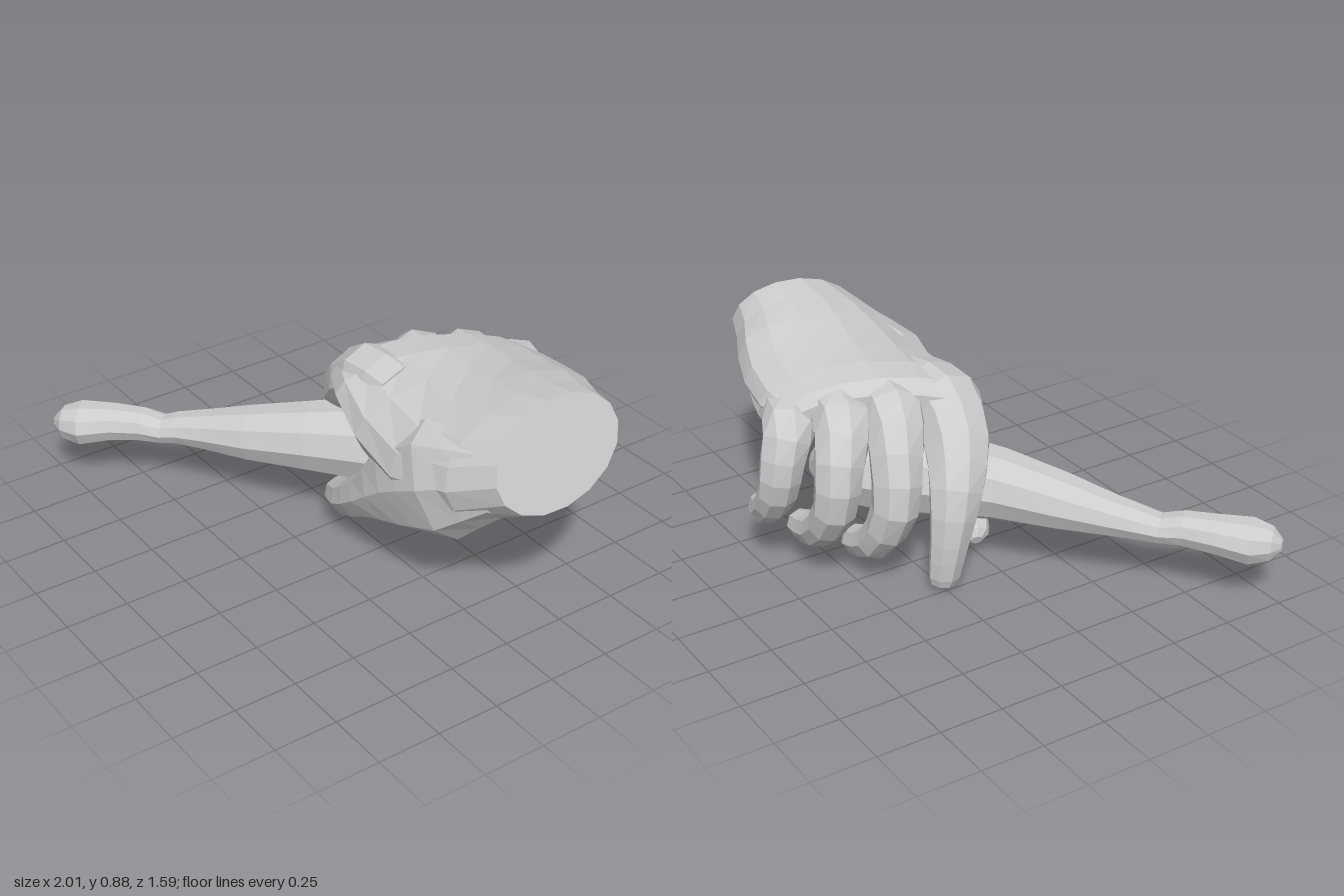
import * as THREE from 'three';

const V = (x, y, z) => new THREE.Vector3(x, y, z);
const material = new THREE.MeshStandardMaterial({ color: 0xcccccc, flatShading: true });

// Lofts elliptical rings [x, y, z, halfWidth, halfHeight, slant, lean] along a path.
// side is the width direction; slant and lean shear a ring along x and y.
function loft(name, rings, side, sides) {
  const centers = rings.map(r => V(r[0], r[1], r[2]));
  const n = rings.length, pos = [], index = [];
  rings.forEach(([, , , w, h, slant = 0, lean = 0], i) => {
    const t = centers[Math.min(i + 1, n - 1)].clone().sub(centers[Math.max(i - 1, 0)]).normalize();
    const u = side.clone().addScaledVector(t, -side.dot(t)).normalize();
    const v = t.clone().cross(u);
    for (let j = 0; j < sides; j++) {
      const a = (j / sides) * Math.PI * 2, du = Math.cos(a) * w;
      const p = centers[i].clone().addScaledVector(u, du).addScaledVector(v, Math.sin(a) * h);
      pos.push(p.x + slant * du, p.y + lean * du, p.z);
    }
  });
  for (let i = 0; i < n - 1; i++) {
    for (let j = 0; j < sides; j++) {
      const a = i * sides + j, b = i * sides + (j + 1) % sides;
      index.push(a, b, b + sides, a, b + sides, a + sides);
    }
  }
  // end caps
  const first = n * sides, last = first + 1, base = (n - 1) * sides;
  pos.push(...centers[0].toArray(), ...centers[n - 1].toArray());
  for (let j = 0; j < sides; j++) {
    const k = (j + 1) % sides;
    index.push(first, k, j, last, base + j, base + k);
  }
  let geometry = new THREE.BufferGeometry();
  geometry.setAttribute('position', new THREE.Float32BufferAttribute(pos, 3));
  geometry.setIndex(index);
  geometry = geometry.toNonIndexed();
  geometry.computeVertexNormals();
  const mesh = new THREE.Mesh(geometry, material);
  mesh.name = name;
  return mesh;
}

// A finger: joints [x, y, z, halfWidth, halfHeight] smoothed by a curve, with a rounded tip
function finger(name, joints) {
  const curve = new THREE.CatmullRomCurve3(joints.map(j => V(j[0], j[1], j[2])));
  const steps = (joints.length - 1) * 2, rings = [];
  for (let i = 0; i <= steps; i++) {
    const f = i / 2, k = Math.min(Math.floor(f), joints.length - 2);
    const mix = c => THREE.MathUtils.lerp(joints[k][c], joints[k + 1][c], f - k);
    rings.push([...curve.getPoint(i / steps).toArray(), mix(3), mix(4)]);
  }
  const [x, y, z, w, h] = rings[steps];
  const t = curve.getTangent(1);
  for (const [d, s] of [[0.6, 0.8], [1, 0.35]]) {
    rings.push([x + t.x * h * d, y + t.y * h * d, z + t.z * h * d, w * s, h * s]);
  }
  return loft(name, rings, V(0, 0, 1), 8);
}

export function createModel() {
  const model = new THREE.Group();
  model.name = 'handHoldingDrumstick';
  const hand = new THREE.Group();
  hand.name = 'hand';
  model.add(hand);

  // Cut wrist widening to the arched back of the hand and slanted knuckles
  hand.add(loft('palm', [
    [0.95, 0.70, -0.235, 0.275, 0.195, -0.13, -0.2],
    [0.80, 0.645, -0.215, 0.335, 0.215, -0.13, -0.22],
    [0.60, 0.605, -0.225, 0.39, 0.215, -0.15, -0.22],
    [0.40, 0.61, -0.26, 0.41, 0.185, -0.18, -0.14],
    [0.22, 0.635, -0.295, 0.40, 0.15, -0.2, -0.04],
    [0.10, 0.64, -0.32, 0.365, 0.13, -0.2],
    [0.04, 0.64, -0.335, 0.31, 0.09, -0.25],
  ], V(0, 0, 1), 16));

  // Fleshy outer edge of the palm
  hand.add(finger('palmHeel', [
    [0.80, 0.63, -0.40, 0.12, 0.11],
    [0.62, 0.56, -0.48, 0.12, 0.12],
    [0.45, 0.55, -0.54, 0.11, 0.12],
    [0.30, 0.58, -0.58, 0.10, 0.10],
  ]));

  // Thumb with its broad base, passing in front of the drumstick
  hand.add(finger('thumb', [
    [0.84, 0.62, -0.04, 0.11, 0.15],
    [0.62, 0.515, 0.02, 0.14, 0.23],
    [0.43, 0.41, 0.035, 0.135, 0.195],
    [0.25, 0.27, 0.05, 0.11, 0.10],
    [0.08, 0.155, 0.03, 0.095, 0.075],
    [-0.05, 0.10, -0.005, 0.07, 0.06],
  ]));

  // Fingers curling down and back
  hand.add(finger('indexFinger', [
    [0.22, 0.64, -0.10, 0.15, 0.12],
    [0.04, 0.64, -0.085, 0.145, 0.13],
    [-0.10, 0.53, -0.11, 0.135, 0.12],
    [-0.205, 0.39, -0.18, 0.11, 0.092],
    [-0.235, 0.20, -0.23, 0.08, 0.068],
    [-0.23, 0.06, -0.25, 0.064, 0.055],
  ]));
  hand.add(finger('middleFinger', [
    [0.22, 0.64, -0.28, 0.13, 0.12],
    [0.05, 0.64, -0.30, 0.125, 0.125],
    [-0.075, 0.525, -0.36, 0.105, 0.105],
    [-0.125, 0.34, -0.40, 0.092, 0.09],
    [-0.03, 0.17, -0.43, 0.082, 0.072],
    [0.11, 0.11, -0.43, 0.07, 0.06],
  ]));
  hand.add(finger('ringFinger', [
    [0.25, 0.64, -0.45, 0.12, 0.11],
    [0.11, 0.63, -0.48, 0.115, 0.11],
    [0.01, 0.51, -0.555, 0.098, 0.095],
    [0.005, 0.33, -0.585, 0.086, 0.08],
    [0.13, 0.19, -0.59, 0.076, 0.068],
    [0.29, 0.14, -0.575, 0.064, 0.057],
  ]));
  hand.add(finger('littleFinger', [
    [0.38, 0.60, -0.57, 0.11, 0.10],
    [0.24, 0.605, -0.635, 0.105, 0.10],
    [0.195, 0.49, -0.695, 0.09, 0.085],
    [0.21, 0.35, -0.715, 0.08, 0.072],
    [0.31, 0.235, -0.71, 0.07, 0.062],
    [0.42, 0.195, -0.675, 0.06, 0.054],
  ]));

  // Bone knob, narrow neck and swelling meat
  model.add(loft('drumstick', [
    [-0.975, 0.235, 0.765, 0.025, 0.025],
    [-0.945, 0.235, 0.74, 0.072, 0.068],
    [-0.89, 0.24, 0.685, 0.11, 0.088],
    [-0.80, 0.255, 0.59, 0.09, 0.075],
    [-0.71, 0.26, 0.51, 0.078, 0.068],
    [-0.645, 0.25, 0.45, 0.075, 0.055],
    [-0.60, 0.262, 0.405, 0.082, 0.062],
    [-0.50, 0.275, 0.325, 0.097, 0.08],
    [-0.35, 0.295, 0.215, 0.125, 0.11],
    [-0.15, 0.325, 0.06, 0.15, 0.14],
    [0.01, 0.34, -0.09, 0.18, 0.165],
    [0.18, 0.34, -0.24, 0.20, 0.175],
    [0.30, 0.335, -0.35, 0.185, 0.16],
    [0.37, 0.325, -0.42, 0.14, 0.12],
    [0.405, 0.32, -0.455, 0.06, 0.05],
  ], V(0.64, 0, 0.77), 10));

  return model;
}
